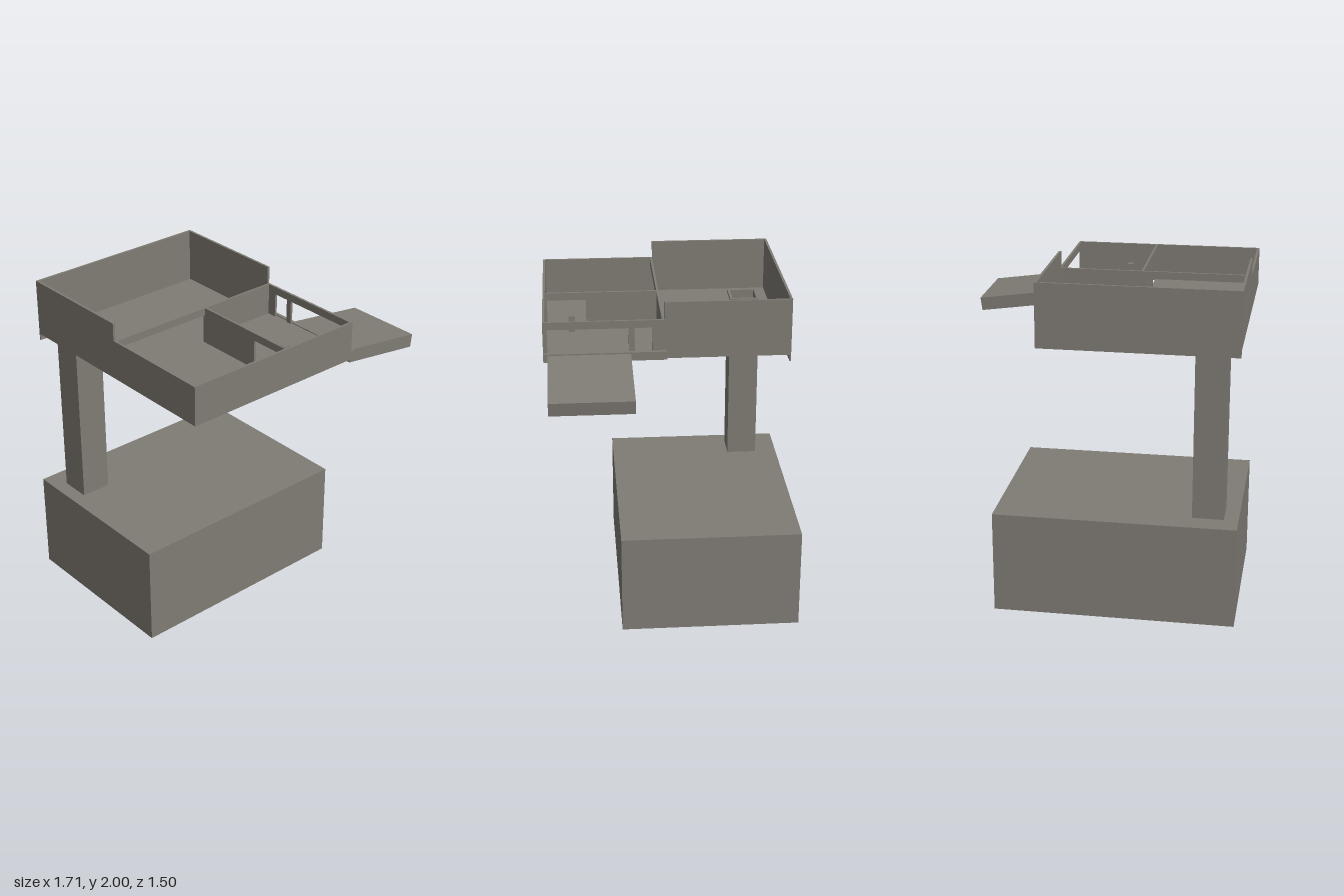
import * as THREE from 'three';

const stone = new THREE.MeshStandardMaterial({ color: 0x807c75 });
stone.name = 'warm grey';

// Box given by its [min, max] range on each axis
function block(parent, name, [x0, x1], [y0, y1], [z0, z1]) {
  const mesh = new THREE.Mesh(new THREE.BoxGeometry(x1 - x0, y1 - y0, z1 - z0), stone);
  mesh.position.set((x0 + x1) / 2, (y0 + y1) / 2, (z0 + z1) / 2);
  mesh.name = name;
  parent.add(mesh);
  return mesh;
}

// Rectangle outline in plan; z is flipped because the slab is laid flat afterwards
function outline(Type, [x0, x1], [z0, z1]) {
  return new Type([[x0, -z0], [x0, -z1], [x1, -z1], [x1, -z0]].map(p => new THREE.Vector2(...p)));
}

// Horizontal slab with a rectangular hole
function slabWithHole(parent, name, xs, [y0, y1], zs, holeX, holeZ) {
  const shape = outline(THREE.Shape, xs, zs);
  shape.holes.push(outline(THREE.Path, holeX, holeZ));
  const geometry = new THREE.ExtrudeGeometry(shape, { depth: y1 - y0, bevelEnabled: false });
  geometry.rotateX(-Math.PI / 2).translate(0, y0, 0);
  const mesh = new THREE.Mesh(geometry, stone);
  mesh.name = name;
  parent.add(mesh);
}

export function createModel() {
  const model = new THREE.Group();
  model.name = 'elevatedRooms';

  // Ground block and hollow column that opens through the floor
  block(model, 'base', [-0.855, 0.57], [0, 0.615], [-0.75, 0.325]);
  slabWithHole(model, 'hollowColumn', [-0.77, -0.585], [0.615, 1.69], [-0.615, -0.43],
    [-0.753, -0.602], [-0.598, -0.447]);

  const rooms = new THREE.Group();
  rooms.name = 'rooms';
  model.add(rooms);

  const t = 0.014;
  const left = -0.845, right = 0.31, back = -0.685, front = 0.745, mid = 0.05;
  const bottom = 1.66, low = 1.895, high = 2, lintel = 1.85, sill = 1.705;
  const partX = [-0.2, -0.187];
  const partZ = [mid, mid + t];

  // Floors: back room with hatch, front room, raised entrance room
  slabWithHole(rooms, 'backFloor', [left, right], [bottom, 1.675], [back, partZ[1]],
    [-0.77, -0.585], [-0.615, -0.43]);
  block(rooms, 'frontFloor', [left, partX[1]], [bottom, 1.675], [partZ[1], front]);
  block(rooms, 'entranceFloor', [partX[1], right], [1.695, sill], [partZ[1], front]);

  // Tall walls of the back room, with a skirt under the rear wall
  block(rooms, 'backWall', [left, right], [bottom, high], [back, back + t]);
  block(rooms, 'backSkirt', [left, right], [1.62, bottom], [back, back + 0.008]);
  for (const x of [left, right - t])
    block(rooms, 'tallSideWall', [x, x + t], [bottom, high], [back + t, mid]);

  // Low outer walls
  block(rooms, 'frontWall', [left, right], [bottom, low], [front - t, front]);
  block(rooms, 'lowSideWall', [left, left + t], [bottom, low], [mid, front - t]);

  // Entrance wall: piers and lintel around a narrow window and a wide doorway
  const sideX = [right - t, right];
  for (const z of [[mid, 0.12], [0.22, 0.254], [0.72, front - t]])
    block(rooms, 'entrancePier', sideX, [bottom, lintel], z);
  block(rooms, 'entranceLintel', sideX, [lintel, low], [mid, front - t]);
  block(rooms, 'entranceSill', sideX, [bottom, sill], [mid, front - t]);

  // Inner walls: solid run, open bay under a beam, and a partition with a doorway
  block(rooms, 'crossWall', [partX[0], right - t], [bottom, low], partZ);
  block(rooms, 'crossBeam', [left + t, partX[0]], [lintel, low], partZ);
  block(rooms, 'partition', partX, [bottom, lintel], [partZ[1], 0.487]);
  block(rooms, 'partitionPier', partX, [bottom, lintel], [0.72, front - t]);
  block(rooms, 'partitionLintel', partX, [lintel, low], [partZ[1], front - t]);

  // Small post in the entrance room
  block(rooms, 'post', [-0.065, -0.03], [sill, 1.805], [0.557, 0.595]);

  // Landing strip and sloping ramp
  block(model, 'landing', [right, 0.333], [bottom, 1.71], [0.035, front]);
  const ramp = block(model, 'ramp', [0.329, 0.849], [1.588, 1.668], [0.243, 0.72]);
  ramp.rotation.z = -0.138;

  return model;
}
